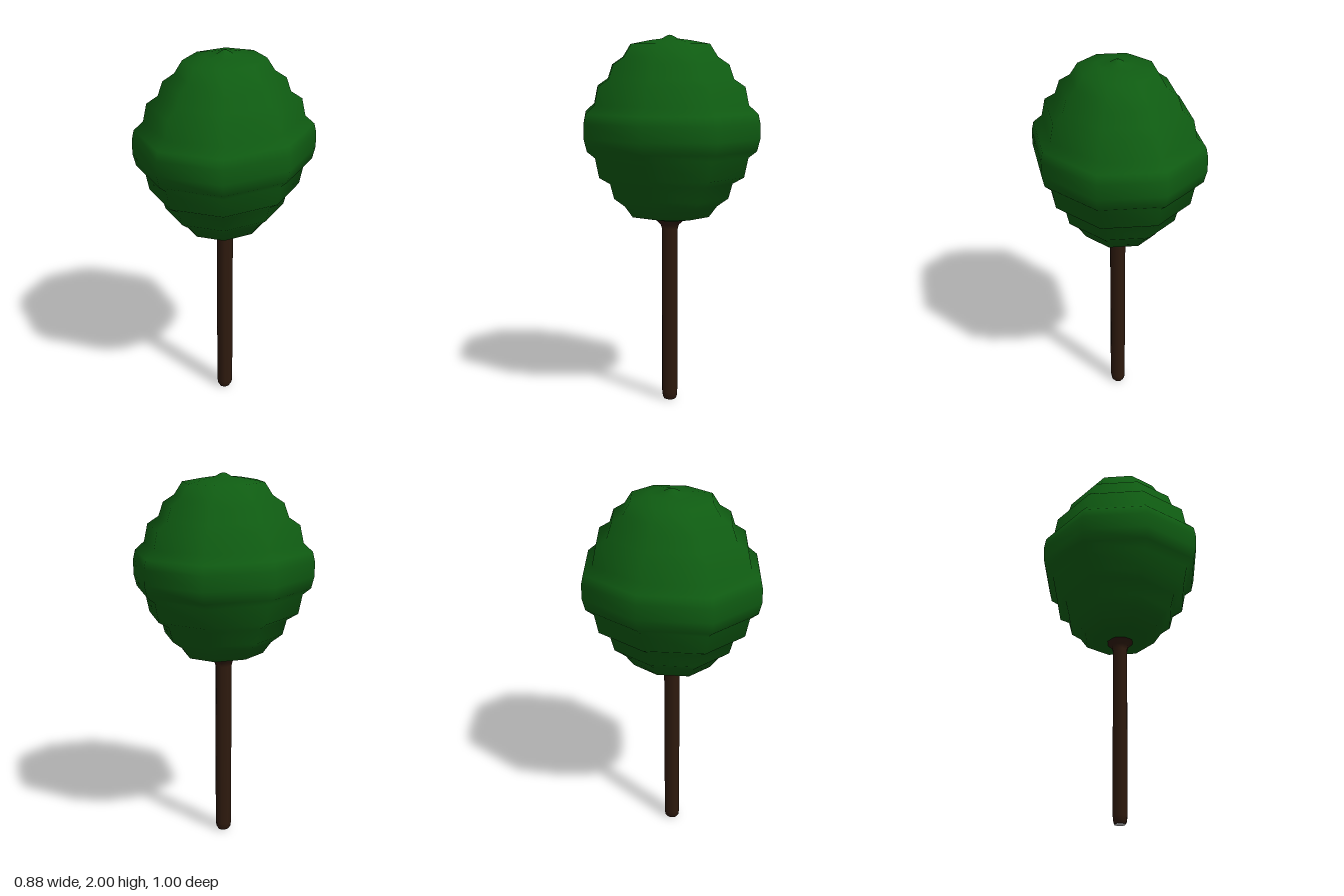
import * as THREE from 'three';

const SIDES = 8;
const DEPTH = 1.136; // the tree is a little deeper than wide

// Eight-sided turned part from [radius, height] pairs, listed bottom to top
function turned(name, profile, color) {
  const geometry = new THREE.LatheGeometry(profile.map(([r, y]) => new THREE.Vector2(r, y)), SIDES);
  const pos = geometry.attributes.position;
  for (let i = 0; i < pos.count; i++) {
    // diagonal corners stand out slightly further than those on the axes
    const x = pos.getX(i), z = pos.getZ(i);
    const k = Math.abs(x * z) > 1e-6 ? 1.028 : 1;
    pos.setX(i, x * k);
    pos.setZ(i, z * k);
  }
  const mesh = new THREE.Mesh(geometry, new THREE.MeshStandardMaterial({ color }));
  mesh.name = name;
  mesh.scale.z = DEPTH;
  return mesh;
}

export function createModel() {
  const tree = new THREE.Group();
  tree.name = 'tree';

  // Slim trunk, rounded at the foot and flared under the foliage
  tree.add(turned('trunk', [
    [0.028, 0], [0.036, 0.015], [0.039, 0.04], [0.04, 0.5],
    [0.04, 0.96], [0.046, 0.985], [0.07, 1.01], [0.075, 1.02],
  ], 0x2e1a0e));

  // Underside of the trunk
  const foot = new THREE.Mesh(
    new THREE.CircleGeometry(0.028, SIDES),
    new THREE.MeshStandardMaterial({ color: 0xcccccc }),
  );
  foot.name = 'trunkFoot';
  foot.rotation.x = Math.PI / 2;
  foot.scale.y = DEPTH;
  tree.add(foot);

  // Foliage in stepped, softly rounded tiers
  tree.add(turned('foliage', [
    [0, 1.0], [0.05, 1.007], [0.1, 1.016], [0.195, 1.035],
    [0.235, 1.095], [0.29, 1.14], [0.31, 1.22], [0.365, 1.255],
    [0.385, 1.36], [0.425, 1.395], [0.44, 1.46], [0.44, 1.54],
    [0.43, 1.59], [0.385, 1.635], [0.367, 1.73], [0.313, 1.77],
    [0.29, 1.845], [0.235, 1.885], [0.197, 1.952], [0.1, 1.972],
    [0.04, 1.98], [0.015, 1.996], [0, 2.0],
  ], 0x0f5c12));

  return tree;
}
